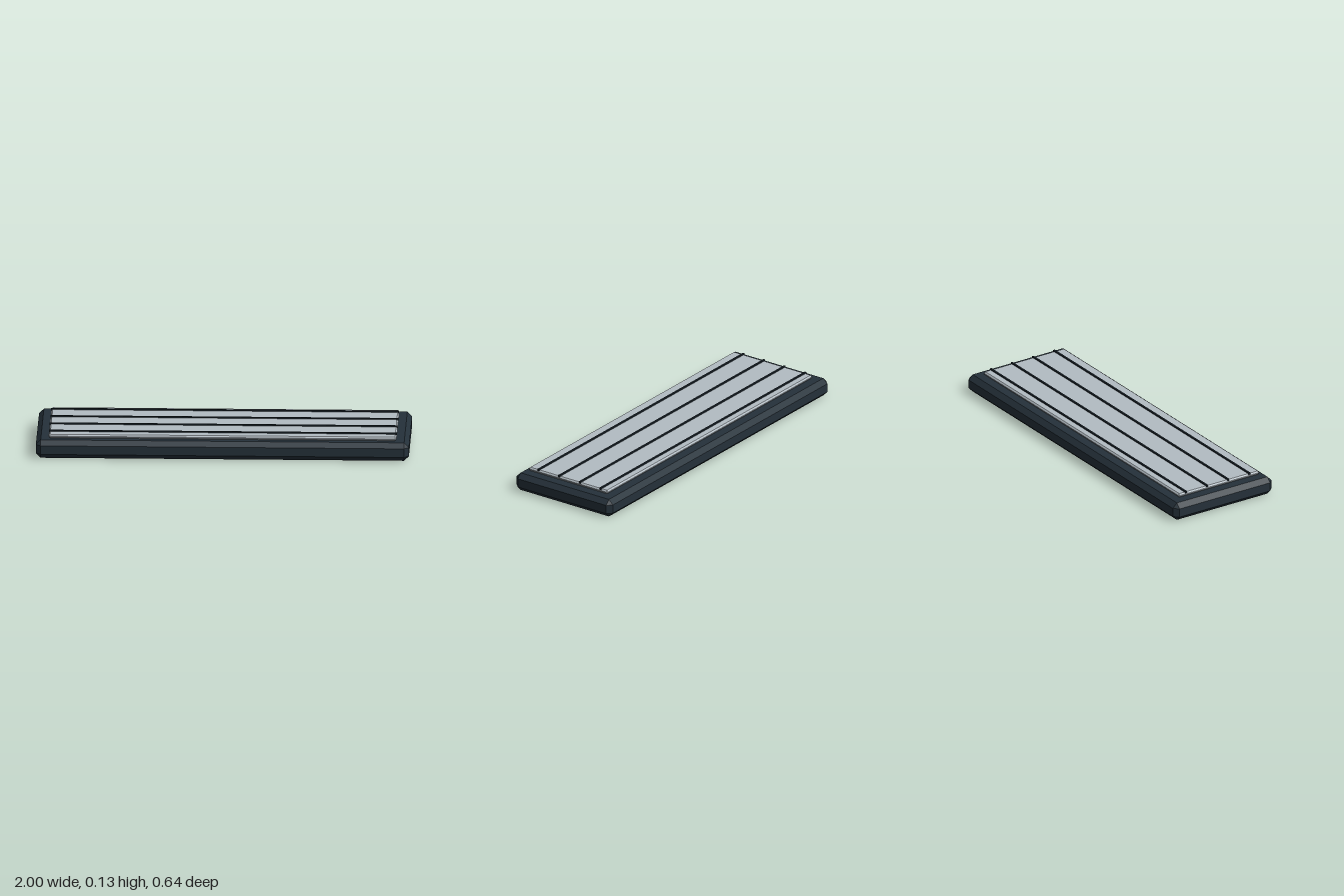
import * as THREE from 'three';
import { ConvexGeometry } from 'three/addons/geometries/ConvexGeometry.js';

// Box with every edge and corner cut flat by c
function chamferedBox(w, h, d, c) {
  const points = [];
  for (const sx of [-1, 1]) for (const sy of [-1, 1]) for (const sz of [-1, 1]) {
    const x = w / 2, y = h / 2, z = d / 2;
    points.push(
      new THREE.Vector3(sx * x, sy * (y - c), sz * (z - c)),
      new THREE.Vector3(sx * (x - c), sy * y, sz * (z - c)),
      new THREE.Vector3(sx * (x - c), sy * (y - c), sz * z)
    );
  }
  return new ConvexGeometry(points);
}

export function createModel() {
  const frameDark = new THREE.MeshStandardMaterial({ name: 'frameDark', color: 0x25313a });
  const panelGrey = new THREE.MeshStandardMaterial({ name: 'panelGrey', color: 0xb3bcc3 });
  const ribDark = new THREE.MeshStandardMaterial({ name: 'ribDark', color: 0x1c262d });
  const model = new THREE.Group();
  model.name = 'ribbedPanel';

  const add = (name, geometry, material, y, z) => {
    const mesh = new THREE.Mesh(geometry, material);
    mesh.name = name;
    mesh.position.set(0, y, z);
    model.add(mesh);
  };

  // Heavy base slab
  add('base', chamferedBox(2, 0.1, 0.638, 0.026), frameDark, 0.05, 0);

  // Light panel resting on the base, set slightly forward
  add('panel', chamferedBox(1.865, 0.021, 0.524, 0.008), panelGrey, 0.1125, 0.01);

  // Four thin ribs along the panel
  const ribGeometry = new THREE.BoxGeometry(1.865, 0.012, 0.01);
  [0.206, 0.069, -0.068, -0.205].forEach((z, i) =>
    add('rib' + (i + 1), ribGeometry, ribDark, 0.124, z));

  return model;
}
